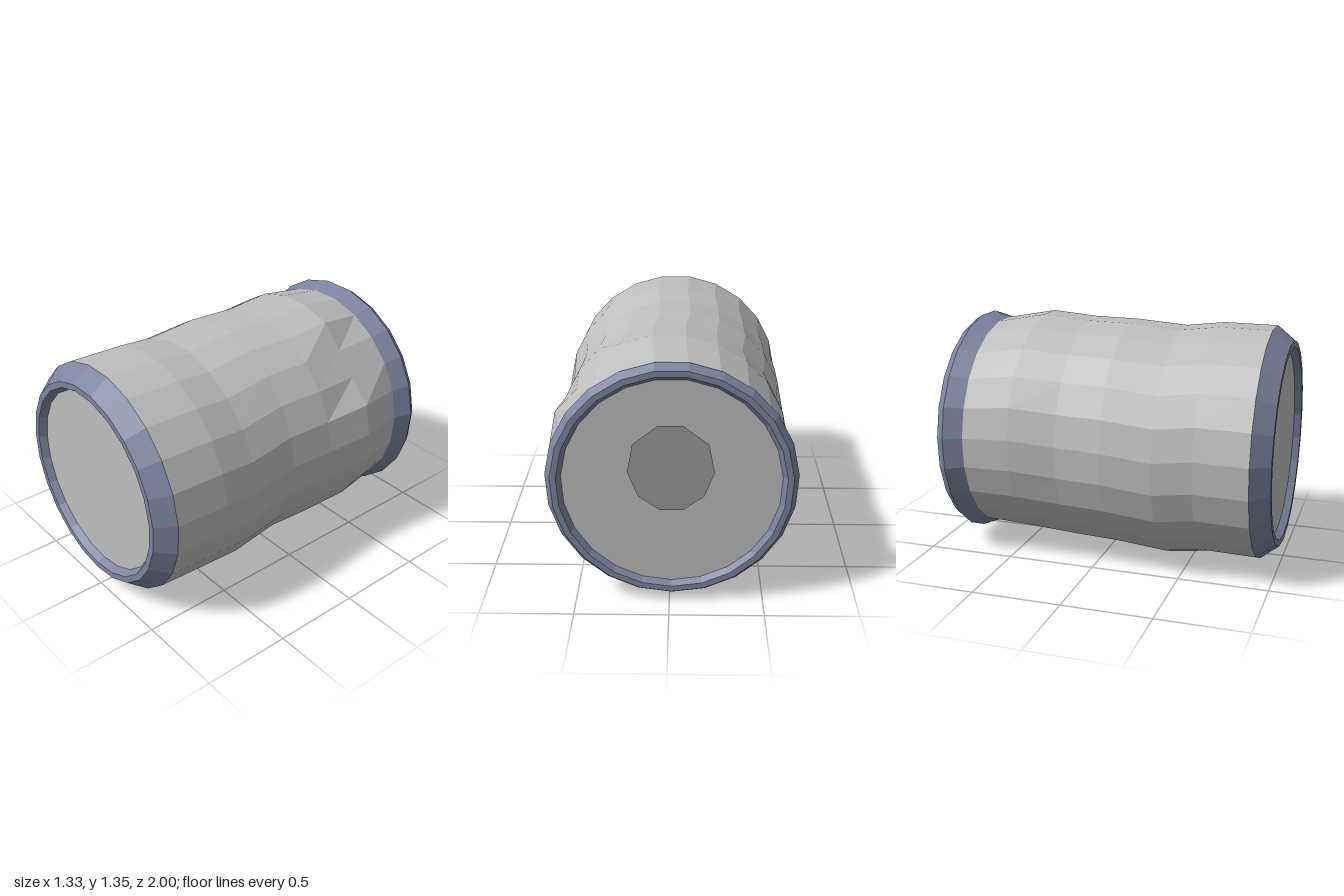
import * as THREE from 'three';

const SIDES = 23;
const CX = -0.0125, CY = 0.685;

const shellGrey = new THREE.MeshStandardMaterial({ color: 0xbebebe });
shellGrey.name = 'shellGrey';
const rimBlue = new THREE.MeshStandardMaterial({ color: 0x7e849f });
rimBlue.name = 'rimBlue';
const tabGrey = new THREE.MeshStandardMaterial({ color: 0xbebebe, side: THREE.DoubleSide });
tabGrey.name = 'tabGrey';

// One cross-section; dents maps a corner index (0 = bottom, counted towards +x) to an inward push
const ring = (z, rx, ry = rx, cx = CX, cy = CY, dents = {}) => ({ z, rx, ry, cx, cy, dents });

function ringPoint(s, k) {
  const i = k % SIDES, a = (i / SIDES) * Math.PI * 2, push = s.dents[i] || 0;
  return [s.cx + (s.rx - push) * Math.sin(a), s.cy - (s.ry - push) * Math.cos(a), s.z];
}

// Faceted skin through the cross-sections, ordered front to back
function loft(name, rings, material) {
  const pos = [];
  for (let j = 0; j < rings.length - 1; j++) {
    for (let k = 0; k < SIDES; k++) {
      const a = ringPoint(rings[j], k), b = ringPoint(rings[j], k + 1);
      const c = ringPoint(rings[j + 1], k + 1), d = ringPoint(rings[j + 1], k);
      pos.push(...a, ...d, ...c, ...a, ...c, ...b);
    }
  }
  const geo = new THREE.BufferGeometry();
  geo.setAttribute('position', new THREE.Float32BufferAttribute(pos, 3));
  geo.computeVertexNormals();
  const mesh = new THREE.Mesh(geo, material);
  mesh.name = name;
  return mesh;
}

function lid(name, radius, z, facesBack) {
  const mesh = new THREE.Mesh(new THREE.CircleGeometry(radius, SIDES, -Math.PI / 2), shellGrey);
  mesh.position.set(CX, CY, z);
  if (facesBack) mesh.rotation.y = Math.PI;
  mesh.name = name;
  return mesh;
}

export function createModel() {
  const can = new THREE.Group();
  can.name = 'crushedCan';

  // Crumpled wall with shifted sections and pressed-in corners
  const front = ring(0.9, 0.657);
  const back = ring(-0.71, 0.622, 0.62, CX, 0.69, { 0: 0.05, 1: 0.05 });
  can.add(loft('wall', [
    front,
    ring(0.6, 0.657, 0.657, 0.0025),
    ring(0.385, 0.657, 0.657, CX, 0.66),
    ring(0.095, 0.64, 0.655, -0.02),
    ring(-0.165, 0.633, 0.655, 0.0025),
    ring(-0.435, 0.655, 0.655, 0.01, 0.705, { 0: 0.05, 1: 0.05, 8: 0.05, 9: 0.05 }),
    back,
  ], shellGrey));

  // Rims: recess wall, flat lip and bevel
  can.add(loft('frontRim', [ring(0.96, 0.518), ring(1, 0.543), ring(1, 0.578), front], rimBlue));
  can.add(loft('backRim', [
    back, ring(-0.815, 0.657), ring(-0.86, 0.627), ring(-0.86, 0.595), ring(-0.83, 0.572),
  ], rimBlue));

  // Recessed ends
  can.add(lid('frontLid', 0.518, 0.96, false));
  can.add(lid('backLid', 0.572, -0.83, true));

  // Thin pull tab leaning away from the back end
  const half = [[0.06, 0.278], [0.19, 0.16], [0.22, -0.02], [0.17, -0.18], [0.06, -0.275]];
  const outline = [...half, ...half.map(([x, y]) => [-x, y]).reverse()];
  const tab = new THREE.Mesh(
    new THREE.ShapeGeometry(new THREE.Shape(outline.map(([x, y]) => new THREE.Vector2(x, y)))),
    tabGrey);
  tab.position.set(-0.01, 0.81, -0.926);
  tab.rotation.set(-0.267, Math.PI, 0, 'XYZ');
  tab.name = 'pullTab';
  can.add(tab);

  return can;
}
